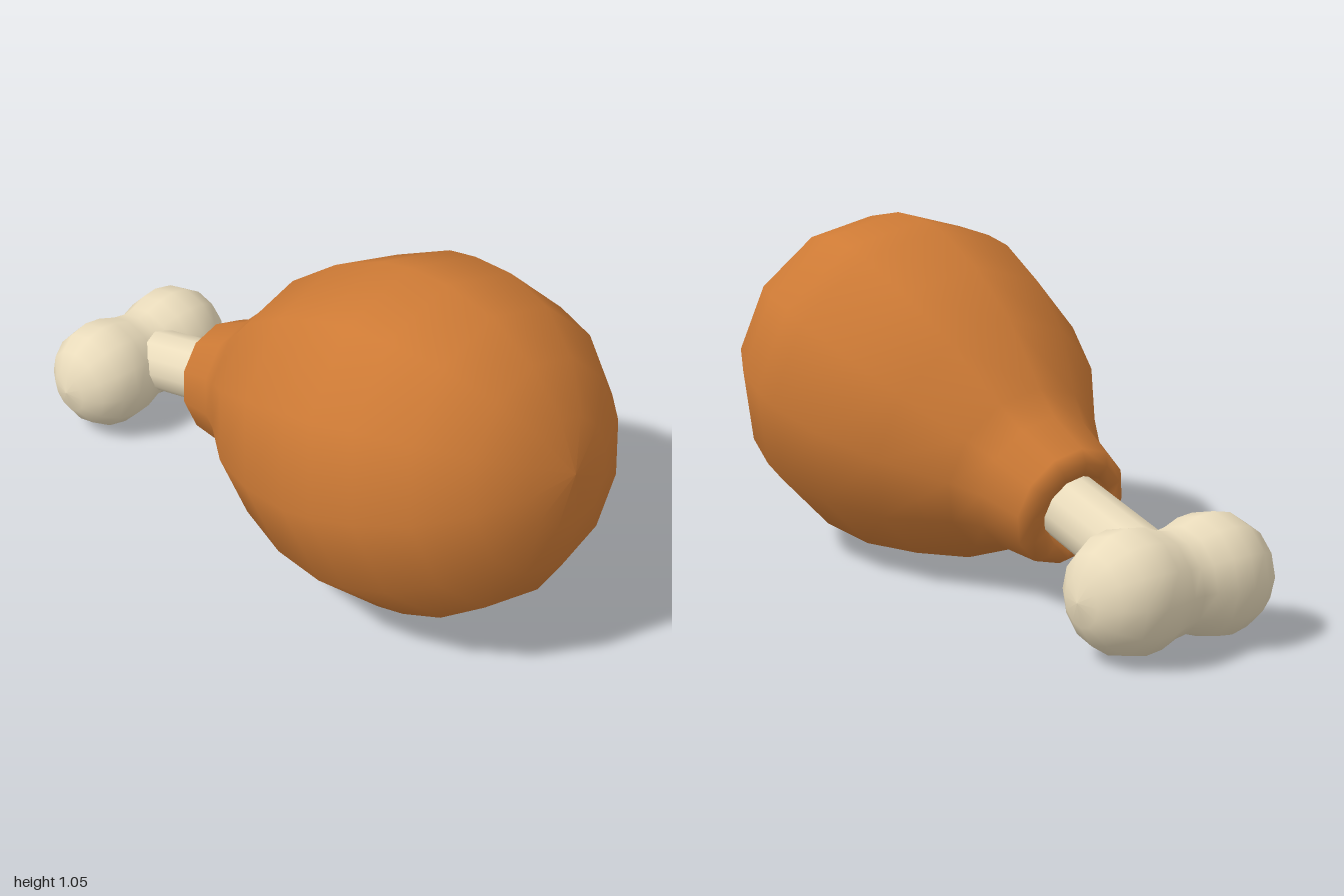
import * as THREE from 'three';

const TILT = 0.27; // upward lean of the leg axis towards the front
const SIDES = 12;

function lathe(name, profile, material) {
  const points = profile.map(([r, y]) => new THREE.Vector2(r, y));
  const mesh = new THREE.Mesh(new THREE.LatheGeometry(points, SIDES), material);
  mesh.name = name;
  return mesh;
}

export function createModel() {
  const meatMaterial = new THREE.MeshStandardMaterial({ color: 0xcd7a35 });
  const boneMaterial = new THREE.MeshStandardMaterial({ color: 0xeadcbc });

  const model = new THREE.Group();
  model.name = 'drumstick';

  // Leg axis: local y runs from the cuff at 0 to the round end
  const leg = new THREE.Group();
  leg.name = 'leg';
  leg.position.set(0, 0.293, -0.43);
  leg.rotation.x = Math.PI / 2 - TILT;
  model.add(leg);

  // Meat: inner rim, cuff, neck, belly, rounded tip
  leg.add(lathe('meat', [
    [0.095, 0.05], [0.115, 0.005], [0.155, 0.003], [0.186, 0.035],
    [0.217, 0.178], [0.267, 0.266], [0.4, 0.455], [0.482, 0.66],
    [0.522, 0.86], [0.517, 0.96], [0.49, 1.1], [0.42, 1.25],
    [0.3, 1.367], [0.155, 1.44], [0, 1.463],
  ], meatMaterial));

  // Bone shaft
  const shaft = new THREE.Mesh(
    new THREE.CylinderGeometry(0.1, 0.1, 0.5, SIDES), boneMaterial);
  shaft.name = 'boneShaft';
  shaft.position.y = -0.15;
  leg.add(shaft);

  // Bone knob: two lobes joined by a soft waist, lying across the shaft
  const half = [
    [0.15, 0.04], [0.169, 0.095], [0.175, 0.15], [0.163, 0.21],
    [0.127, 0.265], [0.07, 0.302], [0, 0.315],
  ];
  const mirrored = half.map(([r, y]) => [r, -y]).reverse();
  const knob = lathe('boneKnob', [...mirrored, [0.144, 0], ...half], boneMaterial);
  knob.rotation.z = Math.PI / 2;
  knob.position.set(-0.008, 0.185, -0.825);
  model.add(knob);

  return model;
}
